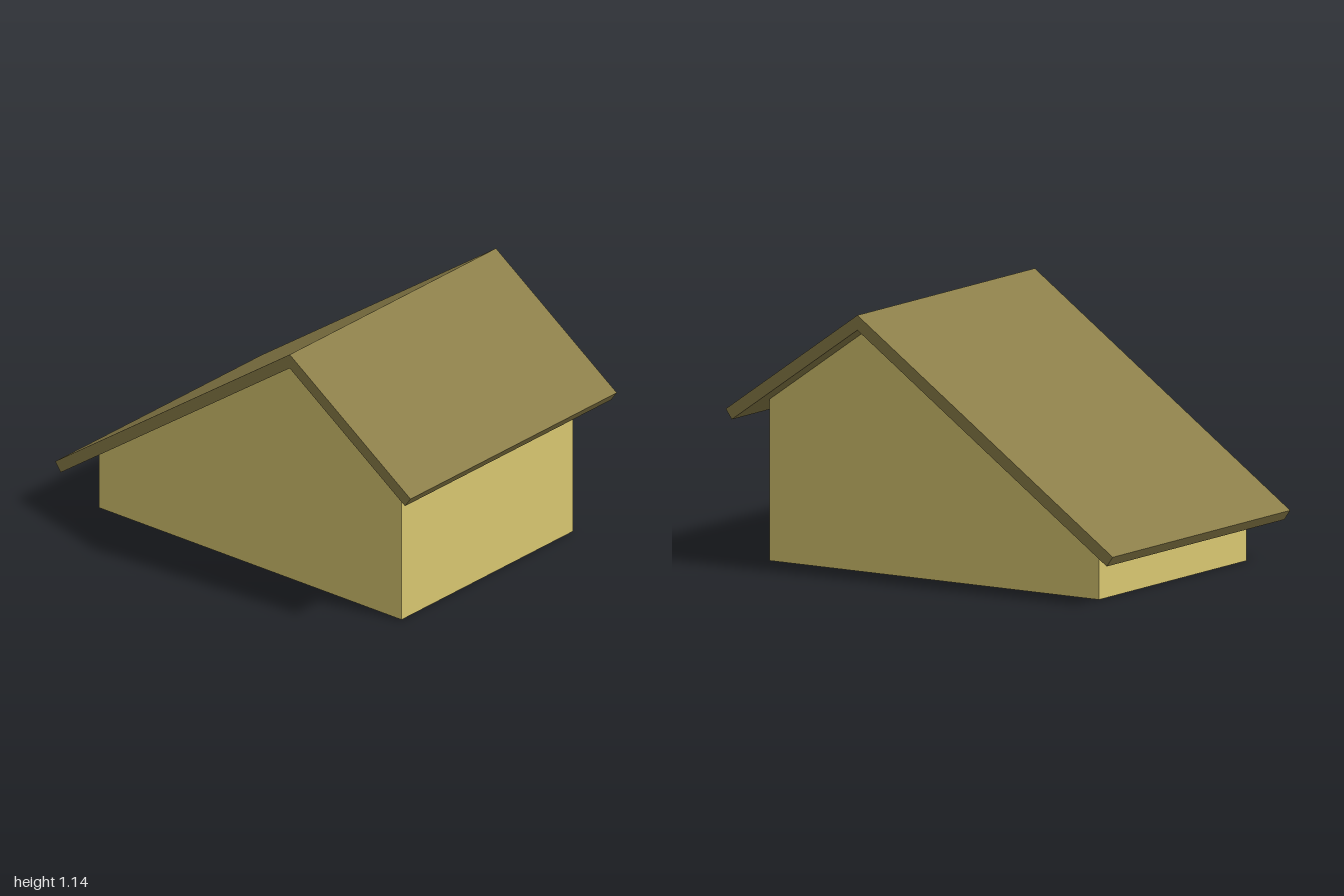
import * as THREE from 'three';

// Extrudes an x-y outline along z, centred on z = 0
function prism(name, points, depth, color) {
  const shape = new THREE.Shape(points.map(([x, y]) => new THREE.Vector2(x, y)));
  const geometry = new THREE.ExtrudeGeometry(shape, { depth, bevelEnabled: false });
  geometry.translate(0, 0, -depth / 2);
  const mesh = new THREE.Mesh(geometry, new THREE.MeshStandardMaterial({ color }));
  mesh.name = name;
  return mesh;
}

export function createModel() {
  const group = new THREE.Group();
  group.name = 'house';

  const ridgeX = 0.32, ridgeTop = 1.143, ridgeUnder = 1.078;
  const slope = 0.7, wallX = 0.852, base = 0.002;
  const under = (x) => ridgeUnder - slope * Math.abs(x - ridgeX);

  // Gabled walls with an off-centre peak
  group.add(prism('walls', [
    [-wallX, base], [wallX, base], [wallX, under(wallX)],
    [ridgeX, ridgeUnder], [-wallX, under(-wallX)],
  ], 1.14, 0xd9c771));

  // Two roof slabs meeting at the ridge, with square-cut eaves
  const roof = new THREE.Group();
  roof.name = 'roof';
  for (const [name, side] of [['longRoofSlope', -1], ['shortRoofSlope', 1]]) {
    const eaveX = side * 0.969;
    roof.add(prism(name, [
      [ridgeX, ridgeTop], [ridgeX, ridgeUnder],
      [eaveX, under(eaveX)],
      [side, ridgeTop - slope * Math.abs(side - ridgeX)],
    ], 1.37, 0x8b7e49));
  }
  group.add(roof);

  // Floor panel set within the wall bottoms
  const floor = new THREE.Mesh(
    new THREE.BoxGeometry(1.6, 0.04, 1.06),
    new THREE.MeshStandardMaterial({ color: 0x888888 })
  );
  floor.name = 'floor';
  floor.position.set(0, 0.02, -0.02);
  group.add(floor);

  return group;
}
